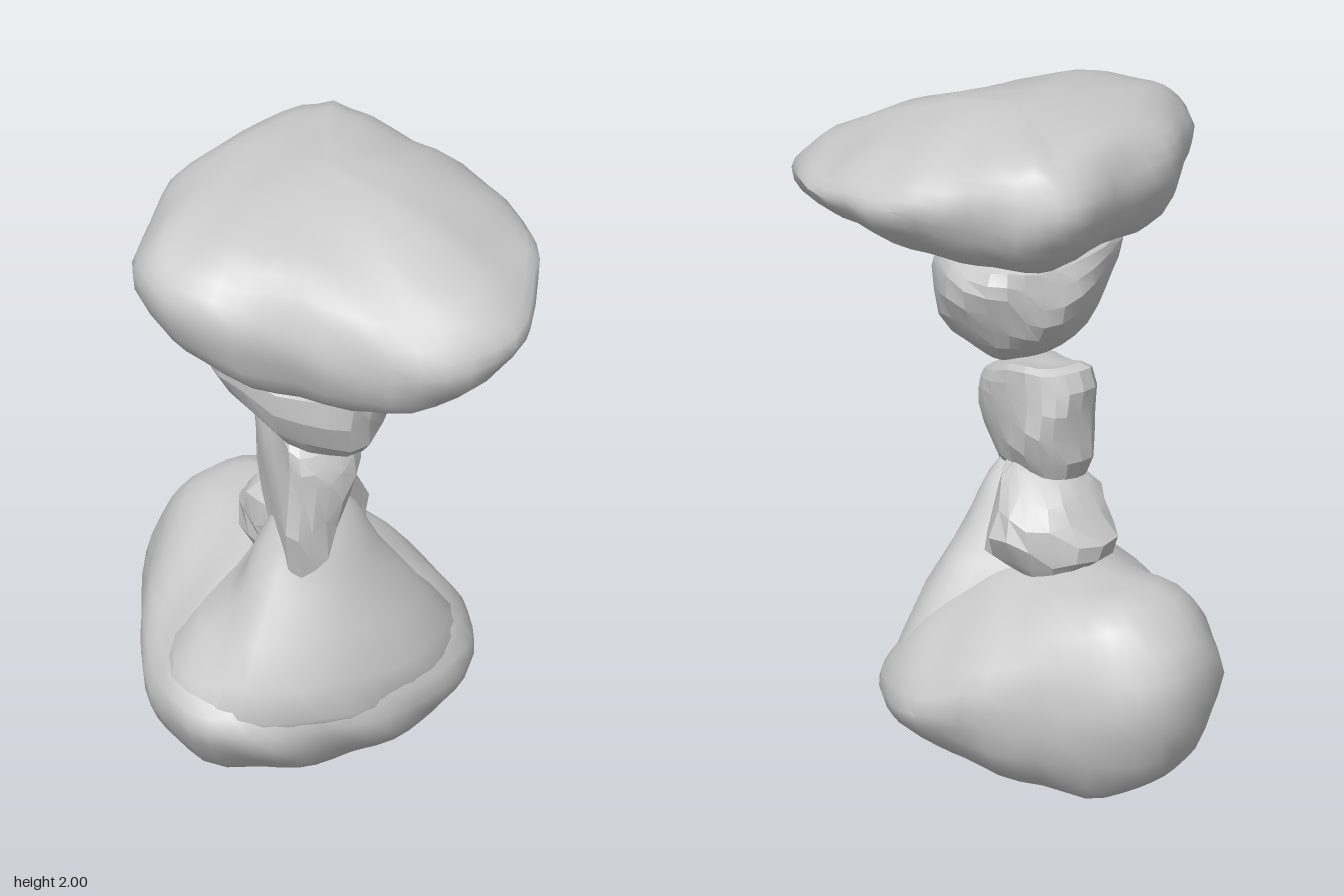
import * as THREE from 'three';
import { toCreasedNormals } from 'three/addons/utils/BufferGeometryUtils.js';

const material = new THREE.MeshStandardMaterial({ color: 0xcccccc });

// A boulder: meridian curves run from a top pole over a shoulder, the rim and
// a lower shoulder to a bottom pole. Rim entries are [x, z, rimY, topY, bottomY],
// going clockwise as seen from above and starting at the back.
function rock(name, { top, bottom, rim, upper = 0.86, lower = 0.82, around = 44, rows = 22, rough = 0.006, crease = 0.8 }) {
  const rimCurve = new THREE.CatmullRomCurve3(rim.map(([x, z, y]) => new THREE.Vector3(x, y, z)), true);
  const shoulders = new THREE.CatmullRomCurve3(rim.map((r) => new THREE.Vector3(r[3], r[4], 0)), true);
  const topPole = new THREE.Vector3(...top), bottomPole = new THREE.Vector3(...bottom);
  const positions = [], index = [];

  // Point between pole and shoulder that keeps the pole area gently domed
  const dome = (pole, shoulder) => pole.clone().lerp(shoulder, 0.45).setY(THREE.MathUtils.lerp(pole.y, shoulder.y, 0.22));

  for (let i = 0; i < around; i++) {
    const edge = rimCurve.getPoint(i / around), heights = shoulders.getPoint(i / around);
    const high = topPole.clone().lerp(edge, upper).setY(heights.x);
    const low = bottomPole.clone().lerp(edge, lower).setY(heights.y);
    const meridian = new THREE.CatmullRomCurve3(
      [topPole, dome(topPole, high), high, edge, low, dome(bottomPole, low), bottomPole]);
    for (let j = 0; j <= rows; j++) {
      const p = meridian.getPoint(j / rows);
      // Gentle weathering, fading out at the poles
      const w = rough * Math.sin((Math.PI * j) / rows);
      const { x, y, z } = p;
      positions.push(
        x + w * Math.sin(23 * y + 17 * z),
        y + w * Math.sin(19 * x + 21 * z + 1),
        z + w * Math.sin(18 * x + 25 * y + 2));
    }
  }
  for (let i = 0; i < around; i++) {
    for (let j = 0; j < rows; j++) {
      const a = i * (rows + 1) + j, b = ((i + 1) % around) * (rows + 1) + j;
      if (j > 0) index.push(a, b, a + 1);
      if (j < rows - 1) index.push(b, b + 1, a + 1);
    }
  }
  const geometry = new THREE.BufferGeometry();
  geometry.setAttribute('position', new THREE.Float32BufferAttribute(positions, 3));
  geometry.setIndex(index);
  const mesh = new THREE.Mesh(toCreasedNormals(geometry, crease), material);
  mesh.name = name;
  return mesh;
}

export function createModel() {
  const group = new THREE.Group();
  group.name = 'balancedRocks';

  // Wide base boulder with a rounded hump at the back
  group.add(rock('baseBoulder', {
    top: [0, 0.62, -0.14], bottom: [0, 0.015, -0.14], upper: 0.78, lower: 0.8,
    rim: [
      [-0.1, -0.75, 0.34, 0.59, 0.06],
      [0.08, -0.71, 0.32, 0.58, 0.02],
      [0.26, -0.54, 0.3, 0.54, 0.03],
      [0.43, -0.37, 0.27, 0.47, 0.07],
      [0.53, -0.17, 0.22, 0.41, 0.1],
      [0.5, 0.05, 0.22, 0.41, 0.09],
      [0.37, 0.22, 0.22, 0.42, 0.07],
      [0.18, 0.34, 0.22, 0.43, 0.06],
      [-0.03, 0.38, 0.22, 0.44, 0.05],
      [-0.24, 0.37, 0.22, 0.42, 0.05],
      [-0.42, 0.3, 0.23, 0.39, 0.05],
      [-0.51, 0.12, 0.25, 0.4, 0.07],
      [-0.48, -0.12, 0.28, 0.45, 0.07],
      [-0.41, -0.38, 0.31, 0.52, 0.07],
      [-0.27, -0.65, 0.34, 0.58, 0.08],
    ],
  }));

  // Flared shoulder that rises out of the base and blends into its flanks
  group.add(rock('baseSpire', {
    top: [-0.02, 0.91, 0.1], bottom: [0, 0.15, 0.05], upper: 0.52, lower: 0.8, around: 32, rows: 20,
    rim: [
      [0, -0.36, 0.46, 0.67, 0.3],
      [0.28, -0.22, 0.38, 0.62, 0.25],
      [0.46, 0.01, 0.28, 0.62, 0.2],
      [0.33, 0.23, 0.27, 0.64, 0.18],
      [0.02, 0.375, 0.26, 0.67, 0.17],
      [-0.32, 0.335, 0.27, 0.63, 0.18],
      [-0.48, 0.12, 0.29, 0.58, 0.2],
      [-0.33, -0.18, 0.4, 0.59, 0.25],
    ],
  }));

  // Small chip wedged behind the spire
  group.add(rock('rearChip', {
    top: [0.02, 0.91, -0.05], bottom: [0.03, 0.59, -0.12], upper: 0.75, around: 14, rows: 10, rough: 0.014, crease: 0.3,
    rim: [
      [0.02, -0.3, 0.68, 0.79, 0.61],
      [0.17, -0.22, 0.7, 0.8, 0.6],
      [0.2, -0.06, 0.7, 0.83, 0.6],
      [0.03, 0.08, 0.74, 0.89, 0.62],
      [-0.17, -0.04, 0.72, 0.85, 0.6],
      [-0.15, -0.22, 0.7, 0.8, 0.6],
    ],
  }));

  // Upright stone forming the narrow neck, its front foot running down the spire
  group.add(rock('neckStone', {
    top: [0, 1.2, 0], bottom: [-0.05, 0.74, 0.04], upper: 0.88, lower: 0.9, around: 20, rows: 14, rough: 0.008, crease: 0.3,
    rim: [
      [0, -0.2, 1.08, 1.22, 0.9],
      [0.09, -0.16, 1.1, 1.22, 0.91],
      [0.13, 0.03, 1.1, 1.18, 0.94],
      [0.09, 0.2, 1.06, 1.13, 0.92],
      [-0.02, 0.26, 1, 1.11, 0.72],
      [-0.12, 0.25, 0.98, 1.11, 0.66],
      [-0.14, 0.05, 1, 1.16, 0.76],
      [-0.12, -0.15, 1.06, 1.21, 0.89],
    ],
  }));

  // Wedge stone, wide at the top, carrying the cap
  group.add(rock('wedgeStone', {
    top: [-0.03, 1.52, 0.12], bottom: [-0.01, 1.14, 0.18], lower: 0.78, around: 24, rows: 16, rough: 0.008, crease: 0.3,
    rim: [
      [0.05, -0.14, 1.41, 1.54, 1.26],
      [0.19, -0.1, 1.45, 1.54, 1.28],
      [0.27, 0.1, 1.47, 1.53, 1.28],
      [0.2, 0.3, 1.43, 1.5, 1.23],
      [0.03, 0.43, 1.37, 1.48, 1.15],
      [-0.17, 0.41, 1.4, 1.48, 1.19],
      [-0.36, 0.25, 1.48, 1.5, 1.31],
      [-0.32, 0.08, 1.47, 1.52, 1.31],
      [-0.13, -0.09, 1.43, 1.54, 1.27],
    ],
  }));

  // Broad cap boulder, tilted down toward the front
  group.add(rock('capBoulder', {
    top: [0.03, 1.995, 0.08], bottom: [0.03, 1.49, 0.18],
    rim: [
      [0.08, -0.42, 1.8, 1.94, 1.62],
      [0.23, -0.37, 1.8, 1.94, 1.62],
      [0.38, -0.2, 1.79, 1.91, 1.62],
      [0.53, -0.05, 1.78, 1.87, 1.64],
      [0.61, 0.2, 1.75, 1.83, 1.65],
      [0.58, 0.45, 1.73, 1.8, 1.61],
      [0.47, 0.67, 1.66, 1.78, 1.53],
      [0.27, 0.75, 1.61, 1.76, 1.46],
      [0.05, 0.7, 1.59, 1.78, 1.43],
      [-0.2, 0.57, 1.66, 1.85, 1.45],
      [-0.43, 0.51, 1.72, 1.88, 1.52],
      [-0.57, 0.37, 1.77, 1.89, 1.58],
      [-0.61, 0.21, 1.79, 1.9, 1.61],
      [-0.5, 0, 1.8, 1.92, 1.6],
      [-0.38, -0.18, 1.81, 1.93, 1.61],
      [-0.15, -0.3, 1.81, 1.95, 1.62],
    ],
  }));

  return group;
}
